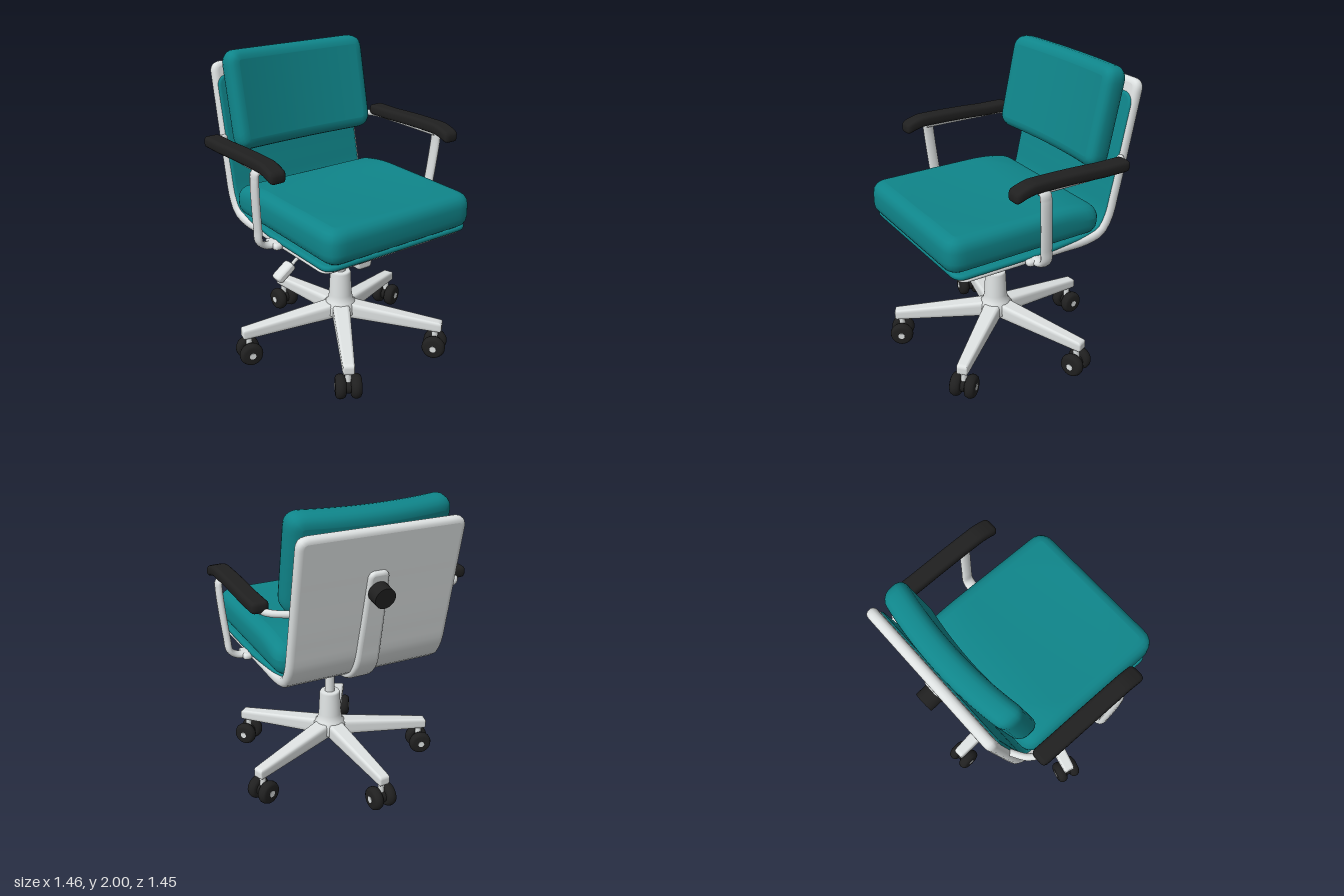
import * as THREE from 'three';
import { mergeVertices } from 'three/addons/utils/BufferGeometryUtils.js';

const mat = (name, color) => {
  const m = new THREE.MeshStandardMaterial({ color });
  m.name = name;
  return m;
};
const { lerp, clamp } = THREE.MathUtils;
const V = (x, y, z) => new THREE.Vector3(x, y, z);

// Move every vertex by a rule, then smooth the normals
function deform(geo, rule) {
  const p = geo.attributes.position, v = V(0, 0, 0);
  for (let i = 0; i < p.count; i++) {
    v.fromBufferAttribute(p, i);
    rule(v);
    p.setXYZ(i, v.x, v.y, v.z);
  }
  geo.computeVertexNormals();
  return geo;
}

// Soft slab: width x, length y, thickness z; plan corner radius R, edge radius r
function block(w, l, t, R, r, nx = 20, ny = 20, nt = 8) {
  let g = new THREE.BoxGeometry(2, 2, 2, nx, ny, nt);
  g.deleteAttribute('uv');
  g.deleteAttribute('normal');
  g = mergeVertices(g);
  const ease = (a) => Math.sin(a * Math.PI / 2);
  return deform(g, (v) => {
    const z = ease(v.z) * t / 2;
    const dz = Math.max(0, Math.abs(z) - (t / 2 - r));
    const e = r - Math.sqrt(Math.max(0, r * r - dz * dz));
    const hx = w / 2 - e, hy = l / 2 - e, c = Math.max(R - e, 0.001);
    const x = ease(v.x) * hx, y = ease(v.y) * hy;
    const ix = clamp(x, c - hx, hx - c), iy = clamp(y, c - hy, hy - c);
    const dx = x - ix, dy = y - iy, len = Math.hypot(dx, dy);
    const k = len > 0 ? Math.max(Math.abs(dx), Math.abs(dy)) / len : 1;
    v.set(ix + dx * k, iy + dy * k, z);
  });
}

// Bend a slab along a [z, y] path; the slab's +z becomes the sitter's side
function bend(geo, l, points, widthAt = () => 1, thickAt = () => 1, lift = 0) {
  const curve = new THREE.CatmullRomCurve3(points.map(([z, y]) => V(0, y, z)), false, 'centripetal');
  return deform(geo, (v) => {
    const u = clamp(v.y / l + 0.5, 0, 1);
    const p = curve.getPointAt(u), t = curve.getTangentAt(u);
    const off = v.z * thickAt(u) + lift;
    v.set(v.x * widthAt(u), p.y - t.z * off, p.z + t.y * off);
  });
}

function add(parent, name, geo, material, x = 0, y = 0, z = 0) {
  const m = new THREE.Mesh(geo, material);
  m.name = name;
  m.position.set(x, y, z);
  parent.add(m);
  return m;
}

export function createModel() {
  const teal = mat('teal upholstery', 0x0f858a);
  const white = mat('pale grey shell', 0xdde1e1);
  const black = mat('black plastic', 0x202020);
  const model = new THREE.Group();
  model.name = 'officeChair';

  // Swivelling upper half, turned slightly
  const upper = new THREE.Group();
  upper.name = 'seatAssembly';
  upper.position.x = 0.01;
  upper.rotation.y = -0.028;
  model.add(upper);

  // One-piece shell and its upholstered lining
  const path = [[0.63, 0.915], [0.2, 0.915], [-0.1, 0.915], [-0.3, 0.918], [-0.41, 0.95], [-0.47, 1.04],
    [-0.51, 1.2], [-0.583, 1.55], [-0.657, 1.905]];
  const L = 1.96;
  add(upper, 'shell', bend(block(1.06, L, 0.07, 0.06, 0.03, 20, 64), L, path,
    (u) => lerp(1.03, 1, u), (u) => lerp(0.4, 1, Math.min(1, u * 2))), white);
  const linerPath = [[0.66, 0.915], ...path.slice(1, -1), [-0.64, 1.82]];
  add(upper, 'lining', bend(block(1.03, L, 0.035, 0.07, 0.016, 20, 64), L, linerPath,
    (u) => lerp(1.07, 1, clamp((u - 0.3) * 5, 0, 1)), () => 1, 0.028), teal);

  // Seat cushion, dished and thinner toward the rear
  const seat = deform(block(1.1, 1.1, 0.225, 0.1, 0.075, 24, 24, 10), (v) => {
    const back = clamp((v.y - 0.2) / 0.35, 0, 1);
    const dish = 0.015 * Math.max(0, 1 - (v.x * v.x + v.y * v.y) / 0.25);
    if (v.z > 0) v.z -= dish + 0.05 * back * back;
  });
  add(upper, 'seatCushion', seat, teal, 0, 1.07, 0.15).rotation.x = -Math.PI / 2;

  // Back cushion, wrapping forward at its ends
  const back = deform(block(1.04, 0.635, 0.165, 0.085, 0.065, 24, 20, 10), (v) => {
    v.z += 0.19 * v.x * v.x;
  });
  add(upper, 'backCushion', back, teal, 0, 1.68, -0.478).rotation.x = -0.21;

  // Spine behind the shell with its height knob
  const spine = [[0, 0.885], [-0.25, 0.878], [-0.4, 0.9], [-0.495, 1.0], [-0.535, 1.15], [-0.638, 1.645]];
  add(upper, 'backSpine', bend(block(0.14, 1.2, 0.055, 0.04, 0.02, 12, 40), 1.2, spine,
    (u) => lerp(1.3, 0.92, u)), white, 0.02);
  add(upper, 'backKnob', new THREE.CylinderGeometry(0.066, 0.066, 0.085, 28), black, 0.02, 1.51, -0.68)
    .rotation.x = -Math.PI / 2 - 0.2;

  // Armrests
  const FLAT = 1.8;
  for (const s of [1, -1]) {
    const arm = new THREE.Group();
    arm.name = s > 0 ? 'leftArm' : 'rightArm';
    upper.add(arm);
    const tube = (pts, r, flat) => {
      const c = new THREE.CatmullRomCurve3(pts.map(([x, y, z]) => V(s * x, y, z / flat)), false, 'centripetal');
      return new THREE.TubeGeometry(c, 40, r, 12).scale(1, 1, flat);
    };
    add(arm, 'armPost', tube([[0.54, 0.925, 0.12], [0.62, 0.928, 0.12], [0.668, 0.965, 0.122], [0.68, 1.05, 0.13],
      [0.705, 1.38, 0.158], [0.7, 1.425, 0.162], [0.65, 1.437, 0.162]], 0.022, FLAT), white);
    add(arm, 'armRail', tube([[0.665, 1.43, 0.2], [0.66, 1.43, -0.2], [0.65, 1.43, -0.4], [0.61, 1.43, -0.475],
      [0.5, 1.43, -0.545]], 0.022, 1), white);
    add(arm, 'armBracket', block(0.06, 0.14, 0.04, 0.025, 0.015, 8, 8, 4), white, s * 0.565, 0.922, 0.12)
      .rotation.x = -Math.PI / 2;
    const pad = deform(block(0.112, 0.81, 0.07, 0.03, 0.022, 12, 28), (v) => {
      v.z += 0.012 * Math.max(0, 1 - (v.y + 0.2) ** 2 * 6);
      v.z -= 0.035 * clamp((-v.y - 0.27) / 0.13, 0, 1) ** 1.5;
    });
    add(arm, 'armPad', pad, black, s * 0.662, 1.46, -0.045).rotation.x = -Math.PI / 2;
  }

  // Tilt mechanism below the seat
  add(upper, 'mountPlate', new THREE.BoxGeometry(0.42, 0.03, 0.46), black, 0, 0.885, 0.11);
  const housing = deform(block(0.33, 0.31, 0.1, 0.04, 0.015, 10, 10, 6), (v) => {
    v.x *= lerp(0.88, 1, clamp(v.z / 0.1 + 0.5, 0, 1));
  });
  add(upper, 'mechanismHousing', housing, black, 0, 0.835, 0.125).rotation.x = -Math.PI / 2;
  add(upper, 'columnCollar', new THREE.CylinderGeometry(0.065, 0.045, 0.07, 24), black, -0.01, 0.765, 0.05);
  add(upper, 'tensionKnob', block(0.115, 0.13, 0.08, 0.025, 0.015, 10, 10, 6), white, -0.01, 0.735, 0.28);
  const rod = new THREE.CatmullRomCurve3([V(-0.1, 0.81, 0.17), V(-0.38, 0.81, 0.17), V(-0.43, 0.805, 0.17),
    V(-0.49, 0.755, 0.17)], false, 'centripetal');
  add(upper, 'leverRod', new THREE.TubeGeometry(rod, 24, 0.012, 8), white);
  const paddle = add(upper, 'leverPaddle', block(0.055, 0.14, 0.08, 0.02, 0.015, 8, 8, 6), white, -0.53, 0.742, 0.17);
  paddle.rotation.z = -0.93;

  // Five-star base
  const base = new THREE.Group();
  base.name = 'base';
  base.position.z = 0.05;
  model.add(base);
  add(base, 'gasColumn', new THREE.CylinderGeometry(0.034, 0.034, 0.3, 24), white, 0, 0.64, 0);
  const hub = [[0, 0.225], [0.09, 0.225], [0.115, 0.25], [0.11, 0.315], [0.088, 0.335], [0.078, 0.38], [0.07, 0.54],
    [0.062, 0.553], [0, 0.553]].map(([x, y]) => new THREE.Vector2(x, y));
  add(base, 'hub', new THREE.LatheGeometry(hub, 32), white);

  const legGeo = deform(block(0.12, 0.66, 0.11, 0.015, 0.02, 10, 16, 8), (v) => {
    const s = v.y / 0.66 + 0.5;
    v.set(v.x * lerp(1, 0.62, s), lerp(0.277, 0.215, s) + v.z * lerp(1, 0.62, s), -(0.04 + s * 0.66));
  });
  const wheelProfile = [[0, -0.034], [0.055, -0.034], [0.07, -0.026], [0.078, -0.008], [0.078, 0.008], [0.07, 0.026],
    [0.055, 0.034], [0, 0.034]].map(([x, y]) => new THREE.Vector2(x, y));
  const wheelGeo = new THREE.LatheGeometry(wheelProfile, 28).rotateZ(-Math.PI / 2);
  const capGeo = new THREE.CylinderGeometry(0.022, 0.022, 0.006, 16).rotateZ(Math.PI / 2);
  const axleGeo = new THREE.CylinderGeometry(0.045, 0.045, 0.05, 16).rotateZ(Math.PI / 2);
  const stemGeo = new THREE.CylinderGeometry(0.021, 0.021, 0.12, 16);

  for (let i = 0; i < 5; i++) {
    const leg = new THREE.Group();
    leg.name = 'leg' + (i + 1);
    leg.rotation.y = -THREE.MathUtils.degToRad(-2.5 + 72 * i);
    base.add(leg);
    add(leg, 'legBeam', legGeo, white);
    const caster = new THREE.Group();
    caster.name = 'caster';
    caster.position.set(0, 0.078, -0.655);
    leg.add(caster);
    add(caster, 'casterStem', stemGeo, white, 0, 0.085, 0);
    add(caster, 'casterAxle', axleGeo, black);
    for (const s of [1, -1]) {
      add(caster, 'wheel', wheelGeo, black, s * 0.049, 0, 0);
      add(caster, 'wheelCap', capGeo, white, s * 0.083, 0, 0);
    }
  }
  return model;
}
